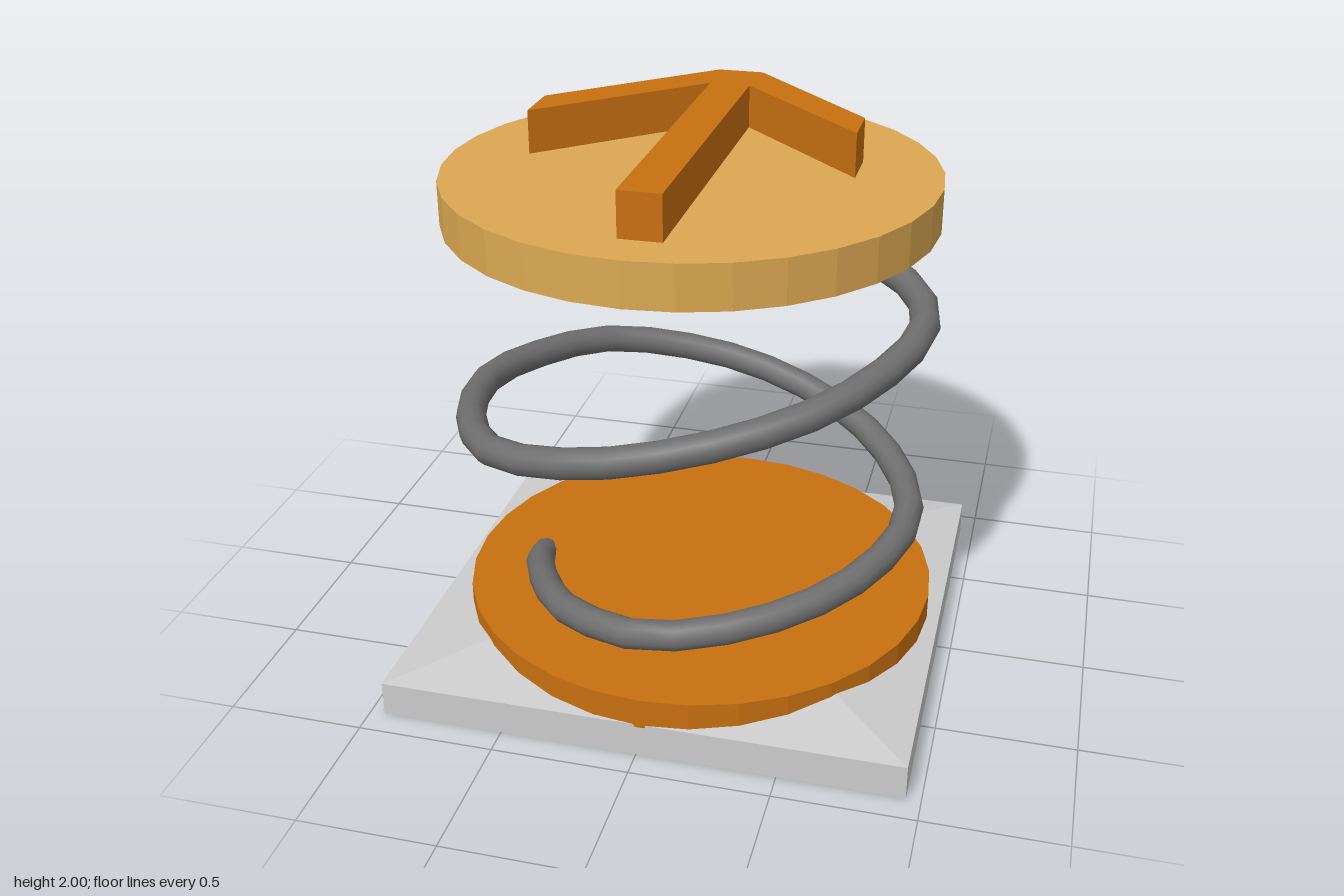
import * as THREE from 'three';

const mat = (color, flatShading = true) => new THREE.MeshStandardMaterial({ color, flatShading });

function add(group, name, geometry, material, x = 0, y = 0, z = 0) {
  const mesh = new THREE.Mesh(geometry, material);
  mesh.name = name;
  mesh.position.set(x, y, z);
  group.add(mesh);
  return mesh;
}

// Square frustum with its sides along x and z
function frustum(halfBottom, halfTop, height, depthScale) {
  return new THREE.CylinderGeometry(halfTop * Math.SQRT2, halfBottom * Math.SQRT2, height, 4)
    .rotateY(Math.PI / 4)
    .scale(1, 1, depthScale);
}

export function createModel() {
  const group = new THREE.Group();
  const grey = mat(0xcccccc);
  const orange = mat(0xc87010);
  const tan = mat(0xdba852);
  const steel = mat(0x6e6e6e, false);

  // Square base with a shallow pyramid rising under the lower disc
  add(group, 'basePlate', new THREE.BoxGeometry(1.895, 0.13, 1.78), grey, 0, 0.065, 0.01);
  add(group, 'baseSlope', frustum(0.947, 0.37, 0.1, 0.94), grey, 0, 0.18, 0.01);

  // Round plates at both ends of the spring
  add(group, 'lowerDisc', new THREE.CylinderGeometry(0.887, 0.887, 0.115, 32), orange, 0.015, 0.1775, 0.015);
  add(group, 'upperDisc', new THREE.CylinderGeometry(0.882, 0.882, 0.16, 32), tan, -0.03, 1.76, -0.018);

  // Slightly irregular coil spring
  const path = new THREE.CatmullRomCurve3([
    [-0.63, 0.19, 0.0], [-0.61, 0.235, 0.12], [-0.5, 0.30, 0.37], [-0.33, 0.36, 0.61],
    [0, 0.42, 0.78], [0.35, 0.465, 0.69], [0.65, 0.505, 0.42], [0.8, 0.54, 0.02],
    [0.73, 0.58, -0.3], [0.45, 0.66, -0.62], [0, 0.77, -0.755], [-0.5, 0.87, -0.62],
    [-0.74, 0.915, -0.3], [-0.83, 0.94, 0], [-0.76, 0.96, 0.36], [-0.55, 1.0, 0.66],
    [-0.15, 1.08, 0.785], [0.3, 1.18, 0.7], [0.62, 1.26, 0.47], [0.815, 1.325, 0.03],
    [0.74, 1.35, -0.3], [0.45, 1.385, -0.56], [0.05, 1.425, -0.655], [-0.37, 1.49, -0.57],
    [-0.6, 1.56, -0.37], [-0.71, 1.63, -0.19], [-0.745, 1.71, -0.05],
  ].map((p) => new THREE.Vector3(...p)));
  add(group, 'spring', new THREE.TubeGeometry(path, 56, 0.055, 12), steel);

  // Raised arrow pointing to the back; shape y becomes -z
  const outline = [
    [-0.1, 0.73], [-0.635, 0.23], [-0.635, 0.04], [-0.09, 0.54], [-0.09, -0.69],
    [0.06, -0.69], [0.06, 0.54], [0.54, 0.06], [0.54, 0.24], [0.07, 0.73],
  ].map((p) => new THREE.Vector2(...p));
  const arrow = new THREE.ExtrudeGeometry(new THREE.Shape(outline), { depth: 0.16, bevelEnabled: false });
  arrow.rotateX(-Math.PI / 2);
  add(group, 'arrow', arrow, orange, 0, 1.84, 0);

  return group;
}
